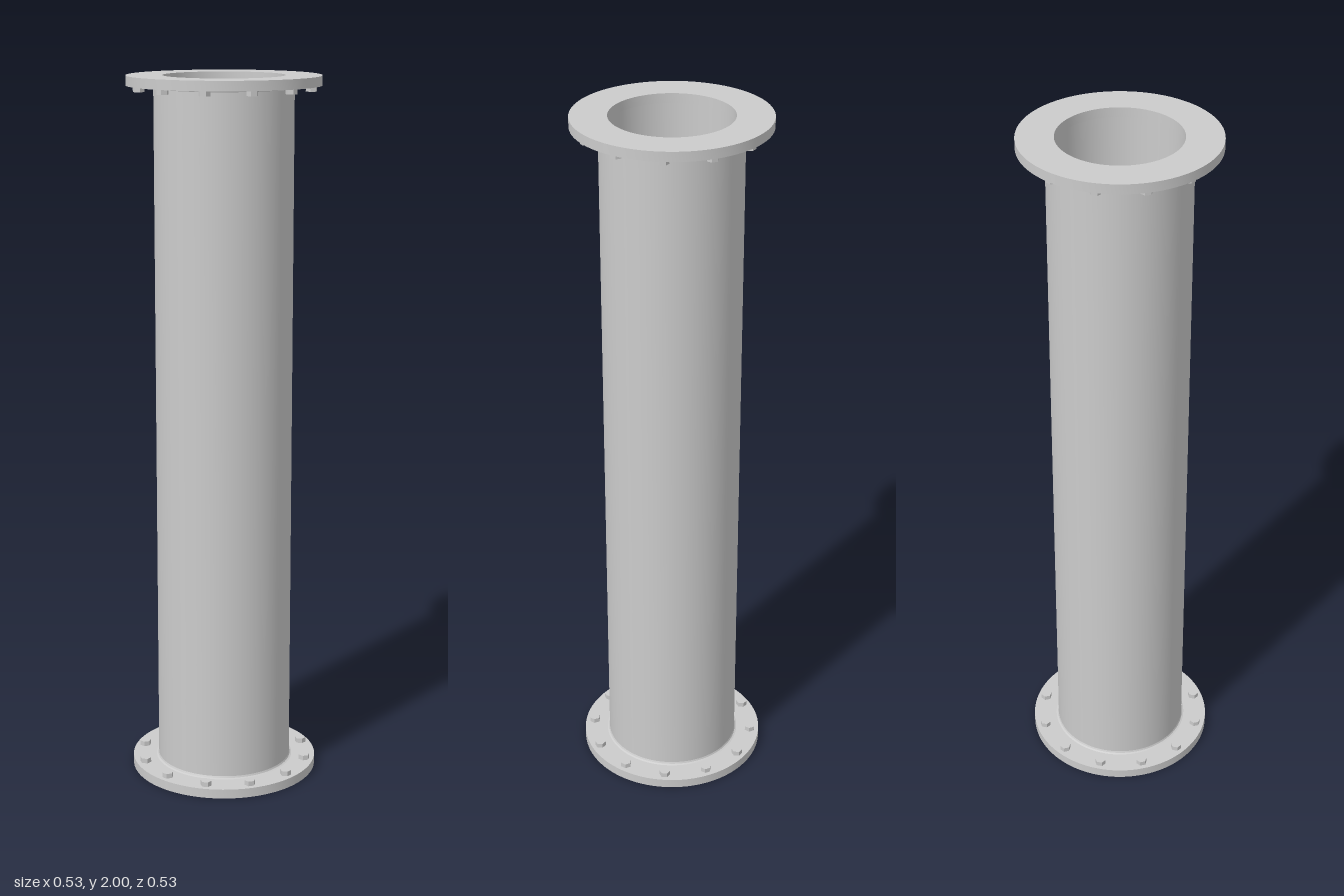
import * as THREE from 'three';
import { toCreasedNormals } from 'three/addons/utils/BufferGeometryUtils.js';

const material = new THREE.MeshStandardMaterial({ color: 0xcccccc });

const HEIGHT = 2;
const BORE = 0.167;
const PIPE_R = 0.192;
const FLANGE_R = 0.267;
const FLANGE_T = 0.027;
const WELD = 0.007;
const BOLT_CIRCLE = 0.24;
const BOLT_COUNT = 12;

// Revolved profile, smooth around the axis and sharp at its corners
function lathe(name, profile) {
  const points = profile.map(([r, y]) => new THREE.Vector2(r, y));
  const geometry = toCreasedNormals(new THREE.LatheGeometry(points, 96), 0.6);
  const mesh = new THREE.Mesh(geometry, material);
  mesh.name = name;
  return mesh;
}

// Flange ring with a ring of hex bolt heads, its outer face on y = 0
function createFlange(name) {
  const flange = new THREE.Group();
  flange.name = name;

  flange.add(lathe('flangeRing', [
    [BORE, 0], [FLANGE_R, 0], [FLANGE_R, FLANGE_T], [BORE, FLANGE_T], [BORE, 0],
  ]));

  // Small weld fillet where the pipe meets the flange
  flange.add(lathe('weld', [
    [PIPE_R + WELD, FLANGE_T],
    [PIPE_R + WELD * 0.3, FLANGE_T + WELD * 0.3],
    [PIPE_R, FLANGE_T + WELD],
  ]));

  const headHeight = 0.014;
  const headGeometry = new THREE.CylinderGeometry(0.016, 0.016, headHeight, 6).toNonIndexed();
  headGeometry.computeVertexNormals();
  for (let i = 0; i < BOLT_COUNT; i++) {
    const a = (i / BOLT_COUNT) * Math.PI * 2;
    const bolt = new THREE.Mesh(headGeometry, material);
    bolt.name = 'bolt';
    bolt.position.set(Math.sin(a) * BOLT_CIRCLE, FLANGE_T + headHeight / 2, Math.cos(a) * BOLT_CIRCLE);
    bolt.rotation.y = a + Math.PI / 6;
    flange.add(bolt);
  }
  return flange;
}

export function createModel() {
  const model = new THREE.Group();
  model.name = 'flangedPipe';

  // Pipe walls between the two flanges
  const low = FLANGE_T;
  const high = HEIGHT - FLANGE_T;
  model.add(lathe('pipeWall', [[PIPE_R, low], [PIPE_R, high]]));
  model.add(lathe('pipeBore', [[BORE, high], [BORE, low]]));

  // Matching flanges, the upper one turned over
  const bottom = createFlange('bottomFlange');
  const top = createFlange('topFlange');
  top.rotation.x = Math.PI;
  top.position.y = HEIGHT;
  model.add(bottom, top);

  return model;
}
